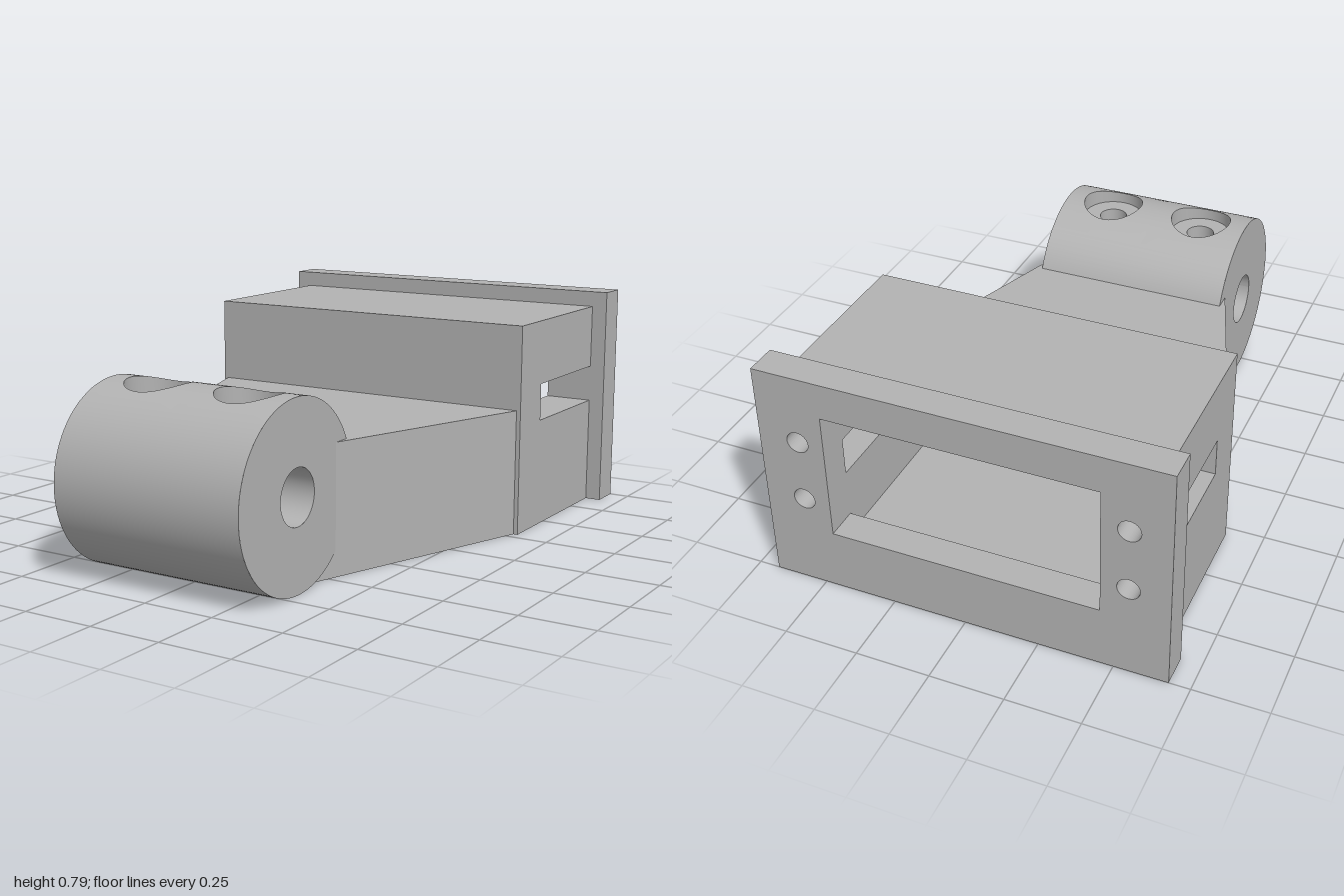
import * as THREE from 'three';

const grey = new THREE.MeshStandardMaterial({ color: 0xb2b2b2 });
grey.name = 'grey';

// Pivot barrel: centre, radii and length
const CY = 0.31, CZ = 0.69, R = 0.31, AXLE_R = 0.093, HALF = 0.35;
// Screw bores: offset, radii and seat height
const BORE_X = HALF / 2, BORE_R = 0.11, SCREW_R = 0.05, SEAT_Y = 0.56;

function add(parent, name, geometry) {
  const mesh = new THREE.Mesh(geometry, grey);
  mesh.name = name;
  parent.add(mesh);
  return mesh;
}

function box(parent, name, x0, x1, y0, y1, z0, z1) {
  const mesh = add(parent, name, new THREE.BoxGeometry(x1 - x0, y1 - y0, z1 - z0));
  mesh.position.set((x0 + x1) / 2, (y0 + y1) / 2, (z0 + z1) / 2);
}

function polygon(points) {
  return new THREE.Shape(points.map(([x, y]) => new THREE.Vector2(x, y)));
}

function extrude(shape, depth) {
  return new THREE.ExtrudeGeometry(shape, { depth, bevelEnabled: false, curveSegments: 24 });
}

// Surface from a rule f(u, v); faces along du x dv
function surface(f, nu, nv) {
  const pos = [], index = [];
  for (let j = 0; j <= nv; j++) {
    for (let i = 0; i <= nu; i++) pos.push(...f(i / nu, j / nv));
  }
  for (let j = 0; j < nv; j++) {
    for (let i = 0; i < nu; i++) {
      const a = j * (nu + 1) + i, c = a + nu + 1;
      index.push(a, a + 1, c, a + 1, c + 1, c);
    }
  }
  const g = new THREE.BufferGeometry();
  g.setAttribute('position', new THREE.Float32BufferAttribute(pos, 3));
  g.setIndex(index);
  g.computeVertexNormals();
  return g;
}

// Height of the top of a cylinder along x, at offset dz from its axis
const topOf = (r, dz) => CY + Math.sqrt(r * r - dz * dz);

function createBarrel() {
  const barrel = new THREE.Group();
  barrel.name = 'pivotBarrel';

  // Round skin, open at the top for the two bored patches
  const gap = Math.asin(BORE_X / R);
  const skin = new THREE.CylinderGeometry(R, R, 2 * HALF, 80, 1, true, Math.PI / 2 + gap, 2 * (Math.PI - gap));
  add(barrel, 'barrelSkin', skin.rotateZ(Math.PI / 2).translate(0, CY, CZ));

  // Axle hole and ring-shaped ends
  add(barrel, 'axleHole', surface((u, v) => {
    const t = u * 2 * Math.PI;
    return [(v * 2 - 1) * HALF, CY + AXLE_R * Math.sin(t), CZ + AXLE_R * Math.cos(t)];
  }, 48, 1));
  for (const side of [-1, 1]) {
    const end = add(barrel, 'barrelEnd', new THREE.RingGeometry(AXLE_R, R, 80));
    end.rotation.y = side * Math.PI / 2;
    end.position.set(side * HALF, CY, CZ);
  }

  // Counterbored screw holes
  for (const cx of [-BORE_X, BORE_X]) {
    const ring = (rule, nv) => surface((u, v) => {
      const c = Math.cos(u * 2 * Math.PI), s = Math.sin(u * 2 * Math.PI);
      const [r, y] = rule(v, c, s);
      return [cx + r * c, y, CZ + r * s];
    }, 64, nv);
    add(barrel, 'boredPatch', ring((v, c, s) => {
      const square = BORE_X / Math.max(Math.abs(c), Math.abs(s));
      const r = BORE_R + (square - BORE_R) * v;
      return [r, topOf(R, r * s)];
    }, 8));
    add(barrel, 'counterboreWall', ring((v, c, s) =>
      [BORE_R, SEAT_Y + (topOf(R, BORE_R * s) - SEAT_Y) * v], 1));
    add(barrel, 'counterboreSeat', ring((v) => [SCREW_R + (BORE_R - SCREW_R) * v, SEAT_Y], 1));
    add(barrel, 'screwHoleWall', ring((v, c, s) => {
      const low = topOf(AXLE_R, SCREW_R * s);
      return [SCREW_R, low + (SEAT_Y - low) * v];
    }, 1));
  }
  return barrel;
}

function createHousing() {
  const housing = new THREE.Group();
  housing.name = 'housing';
  const back = -0.89, front = -0.285, inner = 0.455, outer = 0.625;

  // Side walls with a slot running to the flange
  const wall = polygon([
    [-front, 0], [-back, 0], [-back, 0.38], [0.45, 0.38],
    [0.45, 0.51], [-back, 0.51], [-back, 0.735], [-front, 0.735],
  ]);
  for (const x of [-outer, inner]) {
    add(housing, 'sideWall', extrude(wall, outer - inner).rotateY(Math.PI / 2).translate(x, 0, 0));
  }
  box(housing, 'floor', -inner, inner, 0, 0.14, back, front);
  box(housing, 'roof', -inner, inner, 0.665, 0.735, back, front);
  box(housing, 'frontWall', -inner, inner, 0.14, 0.665, -0.32, front);

  // Mounting flange with a window and four screw holes
  const flange = polygon([[-0.68, 0], [0.68, 0], [0.68, 0.79], [-0.68, 0.79]]);
  flange.holes.push(polygon([[-inner, 0.215], [-inner, 0.665], [inner, 0.665], [inner, 0.215]]));
  for (const x of [-0.545, 0.545]) {
    for (const y of [0.33, 0.55]) {
      flange.holes.push(new THREE.Path().absarc(x, y, 0.037, 0, 2 * Math.PI, true));
    }
  }
  add(housing, 'flange', extrude(flange, 0.11).translate(0, 0, -1));
  return housing;
}

export function createModel() {
  const model = new THREE.Group();
  model.name = 'bracket';
  model.add(createHousing(), createBarrel());

  // Tapered arm from the housing into the barrel
  const arm = polygon([[-0.32, -0.56], [0.32, -0.56], [0.61, 0.285], [-0.61, 0.285]]);
  add(model, 'taperedArm', extrude(arm, 0.44).rotateX(-Math.PI / 2));
  return model;
}
